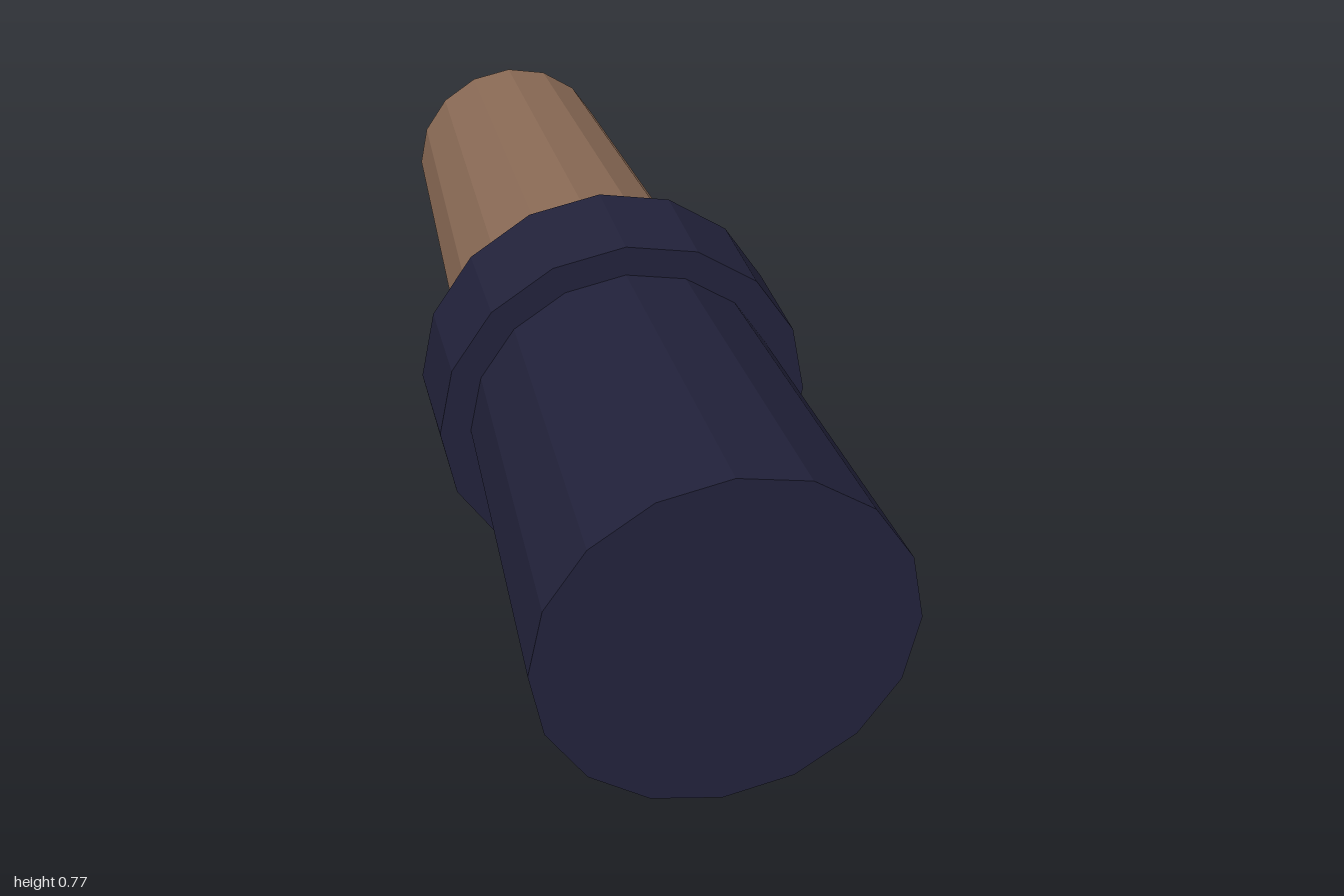
import * as THREE from 'three';

const CENTRE_Y = 0.385;
const SIDES = 16;

export function createModel() {
  const model = new THREE.Group();
  model.name = 'taperedHandle';

  const navy = new THREE.MeshStandardMaterial({ color: 0x22223b, flatShading: true });
  navy.name = 'dark navy';
  const brown = new THREE.MeshStandardMaterial({ color: 0x8b6b56, flatShading: true });
  brown.name = 'wood brown';

  // Tapered drum lying along z, from zBack to zFront
  function addDrum(name, material, zBack, zFront, rBack, rFront) {
    const geometry = new THREE.CylinderGeometry(rFront, rBack, zFront - zBack, SIDES);
    geometry.rotateX(Math.PI / 2);
    const mesh = new THREE.Mesh(geometry, material);
    mesh.name = name;
    mesh.position.set(0, CENTRE_Y, (zBack + zFront) / 2);
    model.add(mesh);
  }

  // Front barrel widens towards its end
  addDrum('barrel', navy, 0.23, 1, 0.322, 0.36);
  // Wide ring between barrel and grip
  addDrum('collar', navy, 0, 0.23, 0.385, 0.385);
  // Wooden grip narrows towards the back
  addDrum('grip', brown, -1, 0, 0.23, 0.29);

  return model;
}
